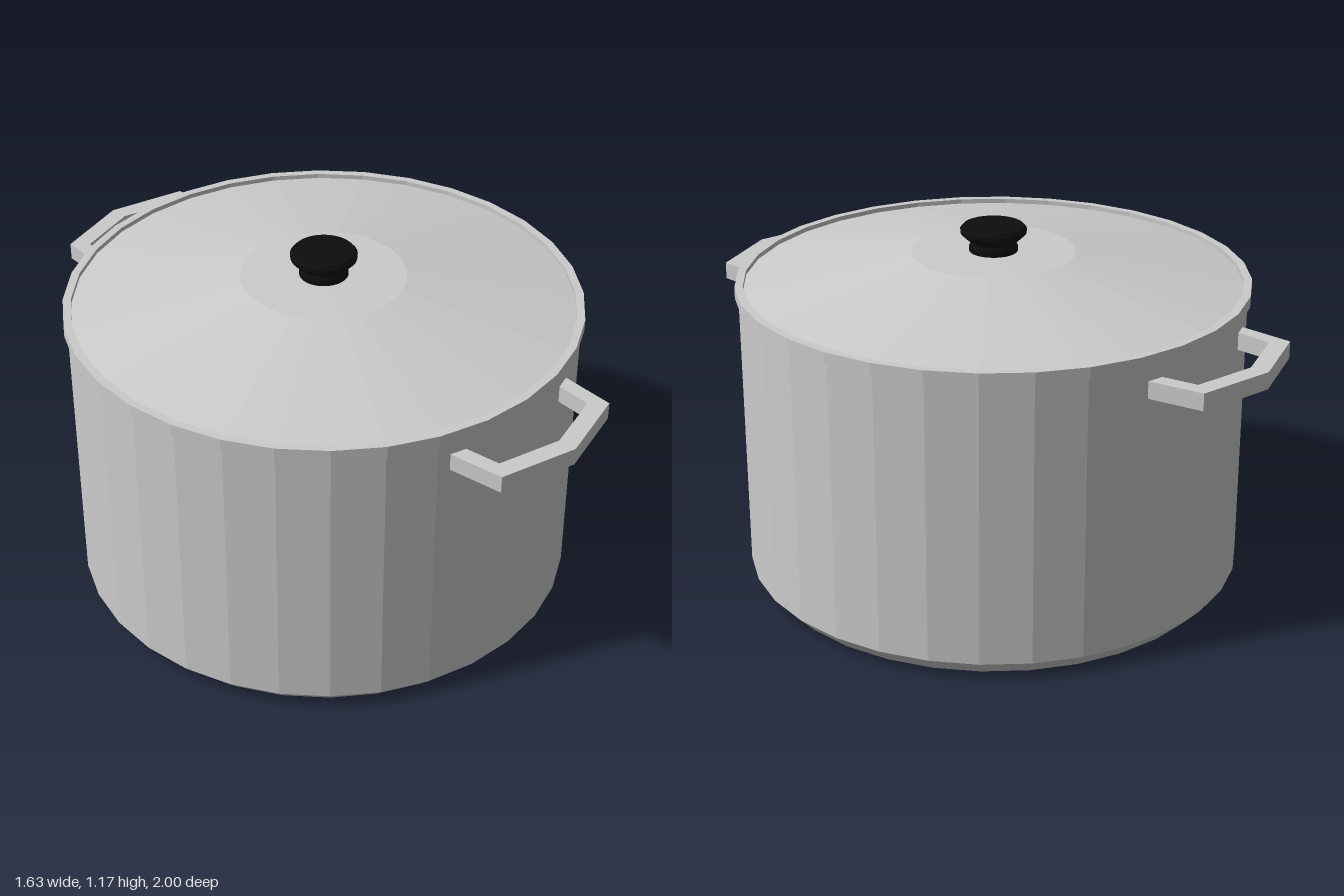
import * as THREE from 'three';

const SIDES = 32;
const steel = new THREE.MeshStandardMaterial({ color: 0xcccccc, flatShading: true });
const black = new THREE.MeshStandardMaterial({ color: 0x0d0d0d, flatShading: true });

const points = (pairs) => pairs.map(([x, y]) => new THREE.Vector2(x, y));

// Revolved part from [radius, height] pairs, listed from the bottom up
function turned(name, profile, material) {
  const mesh = new THREE.Mesh(new THREE.LatheGeometry(points(profile), SIDES), material);
  mesh.name = name;
  return mesh;
}

// Angular loop handle; half outline in [x, z], mirrored across x
function handle(name, turn) {
  const outer = [[0.268, 0.755], [0.25, 0.932], [0, 1]];
  const inner = [[0, 0.94], [0.205, 0.885], [0.218, 0.755]];
  const mirror = (list) => list.filter(([x]) => x > 0).map(([x, z]) => [-x, z]).reverse();
  const outline = [...outer, ...mirror(outer), ...mirror(inner), ...inner];
  const geometry = new THREE.ExtrudeGeometry(new THREE.Shape(points(outline)), {
    depth: 0.055, bevelEnabled: false,
  });
  geometry.rotateX(Math.PI / 2).translate(0, 0.914, 0).rotateY(turn);
  const mesh = new THREE.Mesh(geometry, steel);
  mesh.name = name;
  return mesh;
}

export function createModel() {
  const pot = new THREE.Group();
  pot.name = 'cookingPot';

  // Straight-sided body with a chamfered foot
  pot.add(turned('body', [[0, 0], [0.755, 0], [0.805, 0.053], [0.805, 0.965]], steel));

  // Raised band round the mouth
  pot.add(turned('rim', [
    [0.805, 0.963], [0.816, 0.963], [0.816, 1], [0.79, 1], [0.79, 0.975],
  ], steel));

  // Sloping lid with a flat centre
  pot.add(turned('lid', [[0.79, 0.985], [0.26, 1.081], [0, 1.084]], steel));

  // Flared knob on a narrow neck
  pot.add(turned('knob', [
    [0.077, 1.08], [0.077, 1.098], [0.07, 1.113], [0.083, 1.122],
    [0.104, 1.142], [0.105, 1.155], [0.096, 1.165], [0, 1.166],
  ], black));

  pot.add(handle('frontHandle', 0), handle('backHandle', Math.PI));
  return pot;
}
